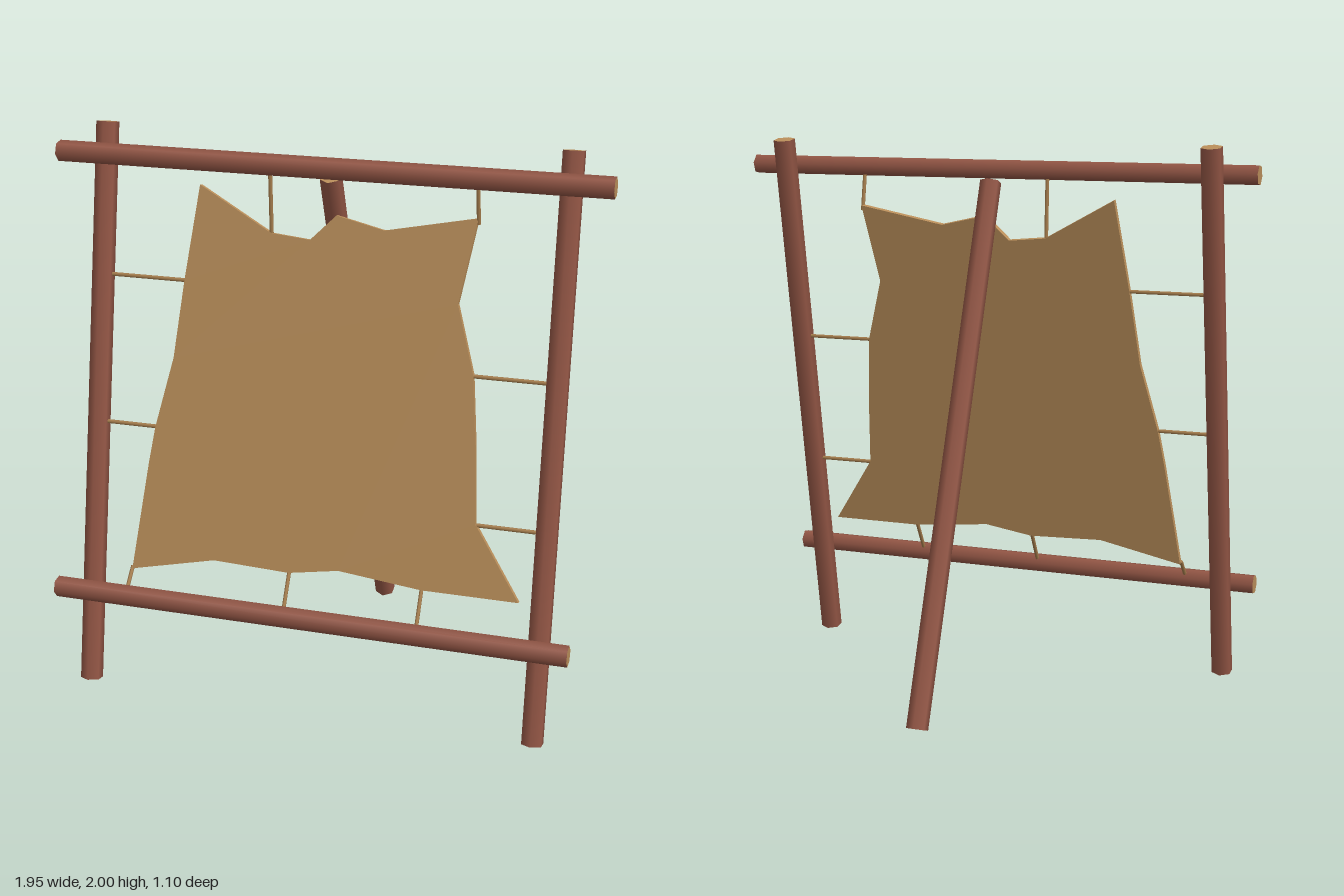
import * as THREE from 'three';

const wood = new THREE.MeshStandardMaterial({ color: 0x935645 });
wood.name = 'redBrownWood';
const cutWood = new THREE.MeshStandardMaterial({ color: 0xb98e5a });
cutWood.name = 'cutWoodEnds';
const hideTan = new THREE.MeshStandardMaterial({ color: 0xb98e5a });
hideTan.name = 'tanHide';
const cordTan = new THREE.MeshStandardMaterial({ color: 0xa87f4e });
cordTan.name = 'cord';

// The frame leans back: z of its middle plane at a given height
const SLOPE = 0.1742, FOOT_Z = 0.5126;
const planeZ = (y) => FOOT_Z - SLOPE * y;

// Six-sided rod between two points
function rod(name, from, to, radius, materials, roll = 0, sides = 6) {
  const a = new THREE.Vector3(...from), b = new THREE.Vector3(...to);
  const dir = b.clone().sub(a);
  const geometry = new THREE.CylinderGeometry(radius, radius, dir.length(), sides);
  geometry.rotateY(roll);
  const mesh = new THREE.Mesh(geometry, materials);
  mesh.name = name;
  mesh.position.copy(a).add(b).multiplyScalar(0.5);
  mesh.quaternion.setFromUnitVectors(new THREE.Vector3(0, 1, 0), dir.normalize());
  return mesh;
}

export function createModel() {
  const model = new THREE.Group();
  model.name = 'hideStretchingFrame';
  const pole = [wood, cutWood, cutWood];

  // Two leaning posts and the rear prop
  for (const [name, x] of [['leftPost', 0.82], ['rightPost', -0.82]]) {
    model.add(rod(name, [x, 0.007, planeZ(0.007)], [x, 1.993, planeZ(1.993)], 0.04, pole));
  }
  model.add(rod('rearProp', [0, 0.014, -0.515], [0, 1.855, 0.187], 0.039, pole));

  // Crossbars in front of the posts
  model.add(rod('topBar', [-0.973, 1.896, 0.243], [0.973, 1.896, 0.243], 0.037, pole, 0.17));
  model.add(rod('bottomBar', [-0.935, 0.358, 0.515], [0.932, 0.358, 0.515], 0.037, pole, 0.17));

  // Stretched hide, outlined by x and height, then tilted into the frame plane
  const outline = [
    [-0.465, 1.8], [-0.2, 1.655], [-0.06, 1.642], [0.03, 1.73], [0.2, 1.692], [0.52, 1.755],
    [0.468, 1.47], [0.535, 1.24], [0.558, 1.0], [0.575, 0.74], [0.74, 0.49], [0.4, 0.49],
    [0.1, 0.52], [-0.08, 0.49], [-0.36, 0.5], [-0.67, 0.432], [-0.62, 0.82], [-0.6, 0.95],
    [-0.54, 1.2], [-0.51, 1.47],
  ];
  const tilt = Math.atan(SLOPE);
  const shape = new THREE.Shape(outline.map(([x, y]) => new THREE.Vector2(x, y / Math.cos(tilt))));
  const hideGeometry = new THREE.ExtrudeGeometry(shape, { depth: 0.02, bevelEnabled: false });
  hideGeometry.translate(0, 0, -0.01);
  const hide = new THREE.Mesh(hideGeometry, hideTan);
  hide.name = 'hide';
  hide.position.z = FOOT_Z;
  hide.rotation.x = -tilt;
  model.add(hide);

  // Cords tying the hide to bars and posts
  const cords = new THREE.Group();
  cords.name = 'cords';
  const tie = (from, to) => cords.add(rod('cord', from, to, 0.007, cordTan));
  for (const [x, y] of [[-0.2, 1.645], [0.52, 1.735]]) {
    tie([x, y, planeZ(y)], [x, 1.88, 0.235]);
  }
  for (const [x, y] of [[-0.672, 0.44], [-0.08, 0.5], [0.4, 0.5]]) {
    tie([x, y, planeZ(y)], [x, 0.37, 0.5]);
  }
  for (const [x, y] of [[-0.505, 1.47], [-0.595, 0.95], [0.53, 1.235], [0.57, 0.735]]) {
    tie([x, y, planeZ(y)], [Math.sign(x) * 0.81, y, planeZ(y)]);
  }
  model.add(cords);

  return model;
}
